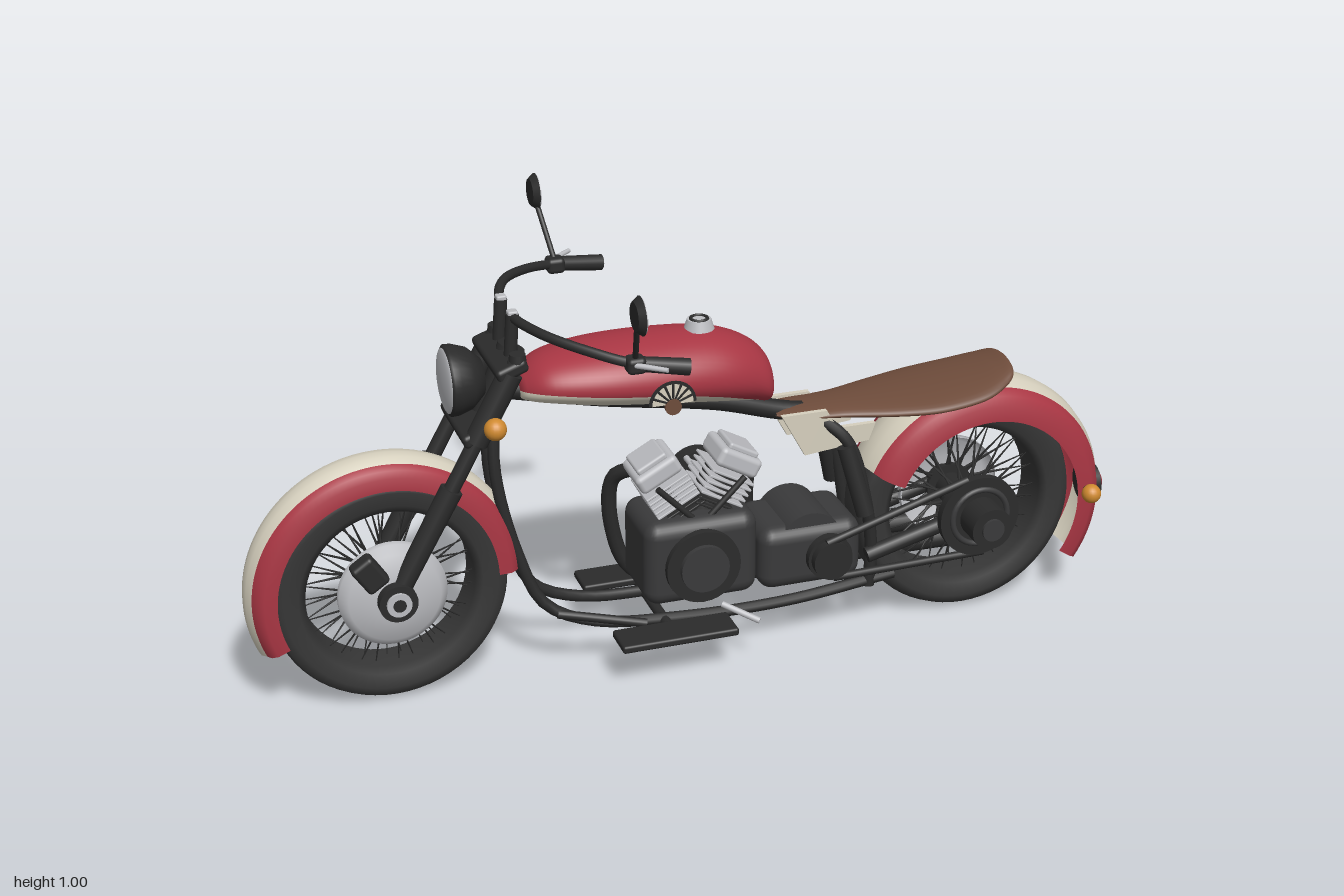
import * as THREE from 'three';
import { RoundedBoxGeometry } from 'three/addons/geometries/RoundedBoxGeometry.js';
import { ParametricGeometry } from 'three/addons/geometries/ParametricGeometry.js';

const mat = (name, color) => {
  const m = new THREE.MeshStandardMaterial({ color, side: THREE.DoubleSide });
  m.name = name;
  return m;
};
const red = mat('red paint', 0xa83643), cream = mat('cream paint', 0xd6d0be), black = mat('black metal', 0x2b2b2b),
  rubber = mat('tyre rubber', 0x363636), silver = mat('silver', 0xbcbdc1), brown = mat('brown leather', 0x6e4c3b),
  amber = mat('amber lens', 0xd08a30), iron = mat('dark iron', 0x3a3a3b);

const V = (p) => new THREE.Vector3(...p);
const rad = THREE.MathUtils.degToRad;
const flip = (p, s) => [p[0], p[1], p[2] * s];

export function createModel() {
  const root = new THREE.Group();
  root.name = 'motorcycle';

  const add = (name, geo, material, pos = [0, 0, 0], rot = [0, 0, 0], parent = root) => {
    const m = new THREE.Mesh(geo, material);
    m.name = name;
    m.position.set(...pos);
    m.rotation.set(...rot);
    parent.add(m);
    return m;
  };
  const disc = (r, h, n = 32, r2 = r) => new THREE.CylinderGeometry(r, r2, h, n).rotateX(Math.PI / 2); // axis along z
  const box = (x, y, z, r = 0.01) => new RoundedBoxGeometry(x, y, z, 3, r);
  const ball = (r) => new THREE.SphereGeometry(r, 20, 14);
  const tube = (name, pts, r, material = black) =>
    add(name, new THREE.TubeGeometry(new THREE.CatmullRomCurve3(pts.map(V)), 40, r, 10), material);
  const rod = (name, a, b, ra, rb = ra, material = black, parent = root, sides = 16) => {
    const A = V(a), d = V(b).sub(A);
    const m = add(name, new THREE.CylinderGeometry(rb, ra, d.length(), sides), material, [0, 0, 0], [0, 0, 0], parent);
    m.position.copy(A).addScaledVector(d, 0.5);
    m.quaternion.setFromUnitVectors(new THREE.Vector3(0, 1, 0), d.normalize());
    return m;
  };
  // Profile of [radius, z] turned about the z axis between two angles in degrees
  const turn = (pts, from = 0, to = 360, n = 64) =>
    new THREE.LatheGeometry(pts.map((p) => new THREE.Vector2(...p)), n, rad(from + 90), rad(to - from)).rotateX(Math.PI / 2);

  // Wheels
  const wheel = (name, x, w, discSide) => {
    const g = new THREE.Group();
    g.name = name;
    g.position.set(x, 0.262, 0);
    root.add(g);
    add('tyre', turn([[0.184, -w * 0.75], [0.2, -w * 0.92], [0.232, -w], [0.25, -w * 0.92], [0.258, -w * 0.6], [0.262, 0],
      [0.258, w * 0.6], [0.25, w * 0.92], [0.232, w], [0.2, w * 0.92], [0.184, w * 0.75], [0.184, -w * 0.75]]), rubber, [0, 0, 0], [0, 0, 0], g);
    add('hub', disc(0.035, w * 2 + 0.05), black, [0, 0, 0], [0, 0, 0], g);
    for (const s of [-1, 1]) {
      add('hubFlange', disc(0.055, 0.012), black, [0, 0, s * w * 0.7], [0, 0, 0], g);
      for (let i = 0; i < 28; i++) {
        const a = (i + s * 0.25) / 28 * Math.PI * 2, b = a + (i % 2 ? 0.2 : -0.2);
        rod('spoke', [0.045 * Math.cos(a), 0.045 * Math.sin(a), s * w * 0.7],
          [0.186 * Math.cos(b), 0.186 * Math.sin(b), s * w * 0.25], 0.004, 0.0012, black, g, 5);
      }
    }
    add('brakeDrum', turn([[0.118, discSide * 0.045], [0.118, discSide * 0.062], [0.1, discSide * 0.078],
      [0.05, discSide * 0.092], [0.001, discSide * 0.094]]), silver, [0, 0, 0], [0, 0, 0], g);
  };
  wheel('frontWheel', -0.69, 0.052, 1);
  wheel('rearWheel', 0.635, 0.062, -1);
  add('frontAxleRing', disc(0.042, 0.03), black, [-0.69, 0.265, 0.1]);
  add('frontAxleNut', disc(0.027, 0.01), silver, [-0.69, 0.265, 0.117]);
  add('frontAxleEnd', disc(0.014, 0.012), black, [-0.69, 0.265, 0.119]);
  add('brakeCaliper', box(0.055, 0.075, 0.04), black, [-0.745, 0.335, 0.09], [0, 0, 0.6]);

  // Mudguards: red flanks and a cream crown
  const mudguard = (name, pos, side, crown, from, to) => {
    for (const s of [-1, 1]) add(name + 'Flank', turn(side.map(([r, z]) => [r, z * s]), from, to), red, pos);
    const half = crown.map(([r, z]) => [r, -z]);
    add(name + 'Crown', turn([...half, ...crown.slice(0, -1).reverse()], from, to), cream, pos);
  };
  mudguard('frontMudguard', [-0.697, 0.265, 0], [[0.24, 0.063], [0.268, 0.062], [0.282, 0.052], [0.29, 0.036]],
    [[0.29, 0.036], [0.3, 0.02], [0.303, 0]], 1, 204);
  mudguard('rearMudguard', [0.67, 0.25, 0], [[0.225, 0.096], [0.26, 0.094], [0.28, 0.08], [0.291, 0.055]],
    [[0.291, 0.055], [0.302, 0.03], [0.306, 0]], -34, 155);

  // Lofted bodies: stations of [x, top, bottom, half width, colour split angle]
  const loft = (stations, lo, hi) => {
    const A = new THREE.CatmullRomCurve3(stations.map((s) => V(s.slice(0, 3))), false, 'catmullrom');
    const B = new THREE.CatmullRomCurve3(stations.map((s) => V([s[0], s[3], s[4] ?? 0])), false, 'catmullrom');
    return new ParametricGeometry((u, v, out) => {
      const a = A.getPoint(u), b = B.getPoint(u), split = rad(b.z);
      const t = THREE.MathUtils.lerp(hi(split), lo(split), v), c = Math.cos(t);
      const mid = a.z + (a.y - a.z) * 0.45;
      out.set(a.x, mid + c * (c > 0 ? a.y - mid : mid - a.z), b.y * Math.sin(t));
    }, 48, 32);
  };
  const tank = [[-0.392, 0.68, 0.66, 0.004, 80], [-0.38, 0.71, 0.65, 0.05, 85], [-0.33, 0.742, 0.642, 0.092, 95], [-0.22, 0.758, 0.625, 0.117, 102],
    [-0.08, 0.76, 0.608, 0.12, 108], [0.04, 0.75, 0.592, 0.108, 120], [0.12, 0.72, 0.58, 0.085, 140], [0.165, 0.675, 0.572, 0.06, 155],
    [0.174, 0.62, 0.6, 0.003, 160]];
  add('tankTop', loft(tank, (s) => -s, (s) => s), red);
  add('tankUnderside', loft(tank, (s) => s, (s) => 2 * Math.PI - s), cream);
  add('seat', loft([[0.185, 0.54, 0.53, 0.03], [0.22, 0.545, 0.522, 0.055], [0.33, 0.546, 0.515, 0.068], [0.44, 0.55, 0.511, 0.1], [0.54, 0.556, 0.512, 0.121],
    [0.64, 0.568, 0.522, 0.117], [0.7, 0.583, 0.54, 0.095], [0.732, 0.594, 0.56, 0.065], [0.738, 0.588, 0.572, 0.004]],
  () => 0, () => 2 * Math.PI), brown);

  // Tank fittings: filler cap and plain half-round side ornaments
  add('fillerCap', new THREE.CylinderGeometry(0.026, 0.033, 0.022, 28), silver, [0.015, 0.765, 0]);
  add('fillerCapRing', new THREE.TorusGeometry(0.018, 0.004, 8, 24).rotateX(Math.PI / 2), black, [0.015, 0.776, 0]);
  for (const s of [-1, 1]) {
    const half = (r) => new THREE.CircleGeometry(r, 24, 0, Math.PI);
    add('tankOrnamentRim', half(0.053), black, [-0.085, 0.642, s * 0.121]);
    add('tankOrnamentFace', half(0.046), cream, [-0.085, 0.642, s * 0.123]);
    for (let i = 1; i < 8; i++) {
      const a = i * Math.PI / 8;
      rod('tankOrnamentRib', [-0.085, 0.642, s * 0.124], [-0.085 + 0.047 * Math.cos(a), 0.642 + 0.047 * Math.sin(a), s * 0.124], 0.002, 0.003, black, root, 5);
    }
    add('tankOrnamentButton', disc(0.018, 0.008), brown, [-0.085, 0.637, s * 0.124]);
  }

  // Frame
  tube('backbone', [[-0.44, 0.68, 0], [-0.2, 0.625, 0], [0.05, 0.58, 0], [0.25, 0.525, 0], [0.45, 0.52, 0]], 0.022);
  rod('steeringHead', [-0.47, 0.6, 0], [-0.4, 0.77, 0], 0.03);
  for (const s of [-1, 1]) {
    const side = (pts) => pts.map((p) => flip(p, s));
    tube('downTube', side([[-0.445, 0.66, 0.02], [-0.452, 0.5, 0.03], [-0.41, 0.3, 0.04], [-0.355, 0.175, 0.05],
      [-0.25, 0.12, 0.06], [-0.05, 0.1, 0.07], [0.2, 0.1, 0.075], [0.45, 0.13, 0.08]]), 0.013);
    tube('seatTube', side([[0.27, 0.53, 0.04], [0.335, 0.47, 0.07], [0.375, 0.34, 0.08], [0.395, 0.2, 0.08], [0.39, 0.11, 0.08]]), 0.014);
    rod('swingArm', flip([0.38, 0.19, 0.09], s), flip([0.66, 0.265, 0.09], s), 0.018);
    rod('rearStay', flip([0.33, 0.46, 0.075], s), flip([0.37, 0.3, 0.1], s), 0.02);
    const panel = new THREE.Shape([[0.185, 0.545], [0.29, 0.545], [0.315, 0.5], [0.405, 0.5], [0.39, 0.46], [0.24, 0.445]].map((p) => new THREE.Vector2(...p)));
    add('sidePanel', new THREE.ExtrudeGeometry(panel, { depth: 0.012, bevelEnabled: false }), cream, [0, 0, s * 0.055 - 0.006]);

    // Footboards
    add('footboard', box(0.265, 0.018, 0.085, 0.006), black, [-0.088, 0.106, s * 0.147]);
    rod('footboardBracket', [-0.09, 0.1, 0], flip([-0.09, 0.1, 0.15], s), 0.012);

    // Fork
    const foot = flip([-0.69, 0.265, 0.085], s), knee = flip([-0.56, 0.5, 0.085], s), top = flip([-0.415, 0.765, 0.085], s);
    rod('forkSlider', foot, knee, 0.022, 0.025);
    rod('forkTube', knee, top, 0.017);
    rod('forkShroud', flip([-0.505, 0.6, 0.085], s), flip([-0.425, 0.747, 0.085], s), 0.026);
    add('forkFoot', ball(0.028), black, foot);
    add('forkCap', new THREE.CylinderGeometry(0.017, 0.02, 0.025, 16), black, flip([-0.41, 0.775, 0.085], s));

    // Handlebar, grips, levers and mirrors
    rod('riser', flip([-0.415, 0.76, 0.045], s), flip([-0.408, 0.86, 0.045], s), 0.014);
    add('riserClamp', box(0.022, 0.014, 0.022, 0.004), silver, flip([-0.408, 0.862, 0.045], s));
    tube('handlebar', side([[-0.408, 0.853, 0.04], [-0.4, 0.855, 0.09], [-0.365, 0.852, 0.17], [-0.3, 0.84, 0.24], [-0.23, 0.825, 0.285], [-0.16, 0.816, 0.298]]), 0.0105);
    rod('grip', flip([-0.21, 0.822, 0.292], s), flip([-0.11, 0.807, 0.305], s), 0.016, 0.018);
    add('switchBox', box(0.04, 0.035, 0.04), black, flip([-0.22, 0.822, 0.29], s));
    rod('lever', flip([-0.225, 0.826, 0.305], s), flip([-0.17, 0.826, 0.35], s), 0.006, 0.005, silver);
    rod('mirrorStem', flip([-0.22, 0.83, 0.29], s), flip([-0.237, 0.935, 0.358], s), 0.006);
    const mirror = new THREE.CylinderGeometry(0.041, 0.03, 0.014, 32).rotateZ(-Math.PI / 2);
    add('mirrorBack', mirror, black, flip([-0.242, 0.963, 0.377], s));
    add('mirrorGlass', new THREE.CylinderGeometry(0.038, 0.038, 0.004, 32).rotateZ(-Math.PI / 2), silver, flip([-0.234, 0.963, 0.377], s));

    // Turn signals
    rod('frontSignalStalk', flip([-0.475, 0.65, 0.08], s), flip([-0.475, 0.65, 0.125], s), 0.008);
    add('frontSignal', ball(0.024), amber, flip([-0.475, 0.648, 0.137], s));
    rod('rearSignalStalk', flip([0.915, 0.273, 0.07], s), flip([0.915, 0.273, 0.115], s), 0.008);
    add('rearSignal', ball(0.022), amber, flip([0.915, 0.273, 0.122], s));
  }
  add('upperForkClamp', box(0.07, 0.03, 0.21), black, [-0.425, 0.755, 0], [0, 0, 0.35]);
  add('lowerForkClamp', box(0.07, 0.03, 0.2), black, [-0.5, 0.615, 0], [0, 0, 0.35]);

  // Lights
  const bowl = [[0.001, 0.075], [0.04, 0.068], [0.066, 0.04], [0.076, 0.01], [0.077, -0.005], [0.07, -0.01]].map((p) => new THREE.Vector2(...p));
  add('headlampShell', new THREE.LatheGeometry(bowl, 36).rotateZ(-Math.PI / 2), black, [-0.535, 0.71, 0]);
  add('headlampLens', new THREE.SphereGeometry(0.071, 32, 10, 0, Math.PI * 2, 0, Math.PI / 2).scale(1, 0.16, 1).rotateZ(Math.PI / 2), silver, [-0.543, 0.71, 0]);
  add('tailLampBase', new THREE.CylinderGeometry(0.044, 0.046, 0.03, 28).rotateZ(-Math.PI / 2), black, [0.967, 0.24, 0]);
  add('tailLampLens', ball(0.033).scale(0.7, 1, 1), red, [0.977, 0.24, 0]);

  // Engine: cases, then two finned cylinders in a vee
  add('crankcase', box(0.26, 0.2, 0.19, 0.035), iron, [-0.005, 0.24, 0]);
  add('primaryCover', disc(0.085, 0.03), black, [-0.01, 0.235, 0.095]);
  add('primaryCoverCap', disc(0.055, 0.02), iron, [-0.01, 0.235, 0.112]);
  add('gearbox', box(0.24, 0.15, 0.19, 0.035), iron, [0.25, 0.21, 0]);
  add('gearboxDome', disc(0.075, 0.16), iron, [0.25, 0.235, 0]);
  add('clutchCover', disc(0.052, 0.025), black, [0.285, 0.21, 0.1]);
  add('clutchCap', disc(0.03, 0.02), iron, [0.285, 0.21, 0.11]);
  add('timingCover', disc(0.07, 0.03), black, [0, 0.22, -0.1]);
  add('timingCap', disc(0.032, 0.01), brown, [0, 0.2, -0.119]);
  add('oilFilter', disc(0.035, 0.04), black, [0.13, 0.22, -0.1]);
  for (const s of [-1, 1]) {
    const g = new THREE.Group();
    g.name = s < 0 ? 'frontCylinder' : 'rearCylinder';
    g.position.set(s * 0.025, 0.32, 0);
    g.rotation.z = -s * 0.5;
    root.add(g);
    add('barrel', new THREE.CylinderGeometry(0.045, 0.048, 0.12, 24), black, [0, 0.04, 0], [0, 0, 0], g);
    for (let i = 0; i < 7; i++) add('fin', box(0.108, 0.006, 0.115, 0.002), i < 2 ? black : silver, [0, 0.025 + i * 0.0135, 0], [0, 0, 0], g);
    add('head', box(0.105, 0.045, 0.11, 0.012), silver, [0, 0.14, 0], [0, 0, 0], g);
    add('rockerCover', box(0.075, 0.016, 0.085, 0.006), silver, [0, 0.167, 0], [0, 0, 0], g);
    for (const z of [-1, 1]) rod('pushrod', [-s * 0.02, -0.02, z * 0.062], [s * 0.02, 0.12, z * 0.062], 0.007, 0.007, black, g);
  }
  add('airCleaner', disc(0.065, 0.036), black, [0.065, 0.325, -0.162]);
  add('airCleanerRim', new THREE.TorusGeometry(0.05, 0.006, 8, 32), iron, [0.065, 0.325, -0.18]);
  rod('intake', [0.03, 0.36, 0], [0.06, 0.33, -0.15], 0.03);
  rod('chokeLever', [0.03, 0.385, -0.09], [0.03, 0.385, -0.13], 0.007, 0.007, silver);

  // Exhaust: two headers running into long silencers
  tube('frontExhaust', [[-0.1, 0.42, -0.05], [-0.15, 0.38, -0.1], [-0.15, 0.25, -0.12], [-0.1, 0.13, -0.125], [0.05, 0.092, -0.128], [0.3, 0.085, -0.13]], 0.017);
  tube('rearExhaust', [[0.1, 0.42, -0.05], [0.16, 0.38, -0.1], [0.17, 0.25, -0.12], [0.2, 0.17, -0.125], [0.3, 0.145, -0.128], [0.4, 0.14, -0.128]], 0.017);
  rod('lowerSilencer', [0.18, 0.087, -0.13], [0.76, 0.085, -0.13], 0.022, 0.027);
  rod('upperSilencer', [0.28, 0.147, -0.126], [0.78, 0.138, -0.126], 0.021, 0.025);

  // Belt drive
  add('rearPulley', disc(0.095, 0.02, 40), black, [0.635, 0.265, 0.122]);
  add('rearPulleyRing', new THREE.TorusGeometry(0.066, 0.007, 8, 36), iron, [0.635, 0.265, 0.132]);
  add('rearAxleDrum', disc(0.048, 0.085), black, [0.635, 0.265, 0.158]);
  add('rearAxleCap', disc(0.026, 0.01), iron, [0.635, 0.265, 0.202]);
  add('frontPulley', disc(0.045, 0.02), black, [0.285, 0.21, 0.122]);
  for (const [a, b] of [[[0.272, 0.253], [0.605, 0.356]], [[0.29, 0.166], [0.65, 0.172]]])
    rod('belt', [...a, 0.123], [...b, 0.123], 0.009);

  // Foot controls
  rod('shiftLever', [0.03, 0.14, 0.115], [0.1, 0.112, 0.165], 0.007, 0.007, silver);
  rod('sideStand', [-0.33, 0.15, 0.06], [-0.14, 0.115, 0.1], 0.01);

  return root;
}
